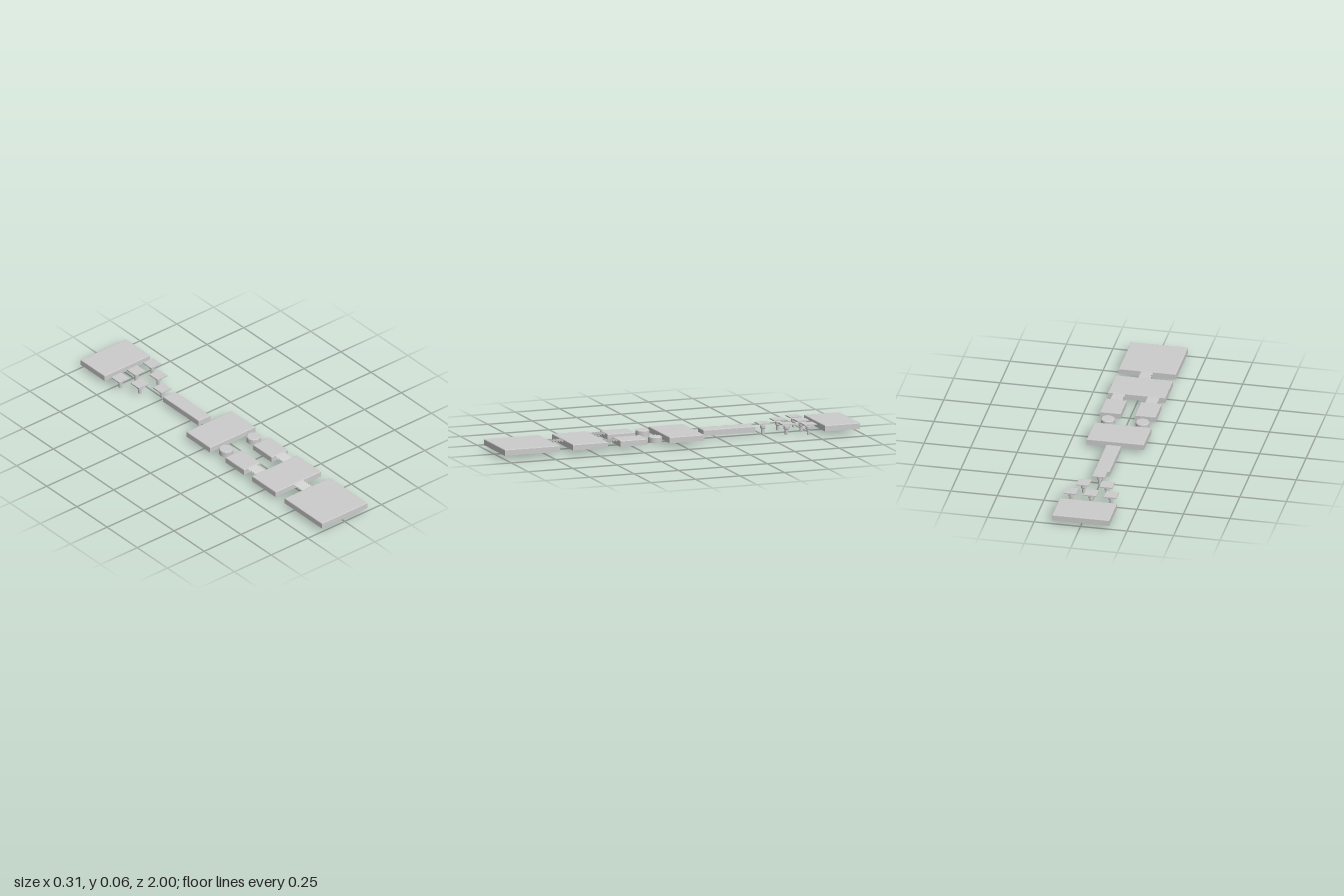
import * as THREE from 'three';

const material = new THREE.MeshStandardMaterial({ color: 0xcccccc, side: THREE.DoubleSide });
const flat = new THREE.MeshStandardMaterial({ color: 0xcccccc, side: THREE.DoubleSide, flatShading: true });
const BOTTOM = 0.02, TOP = 0.052, BEVEL = 0.004;

// Thin block with a bevelled top edge, hollow and open underneath
function shellGeometry(w, d) {
  const loops = [[0, BOTTOM], [0, TOP - BEVEL], [BEVEL * 0.3, TOP - BEVEL * 0.3], [BEVEL, TOP]];
  const pos = [], index = [];
  for (const [inset, y] of loops) {
    const x = w / 2 - inset, z = d / 2 - inset;
    pos.push(-x, y, z, x, y, z, x, y, -z, -x, y, -z);
  }
  for (let r = 0; r < loops.length - 1; r++) {
    for (let i = 0; i < 4; i++) {
      const a = r * 4 + i, b = r * 4 + (i + 1) % 4;
      index.push(a, b, b + 4, a, b + 4, a + 4);
    }
  }
  const t = (loops.length - 1) * 4;
  index.push(t, t + 1, t + 2, t, t + 2, t + 3);
  const g = new THREE.BufferGeometry();
  g.setAttribute('position', new THREE.Float32BufferAttribute(pos, 3));
  g.setIndex(index);
  const out = g.toNonIndexed();
  out.computeVertexNormals();
  return out;
}

// Pleated flexible strip, folds running across x
function pleatGeometry(w, d) {
  const folds = 10;
  const g = new THREE.PlaneGeometry(w, d, 1, folds).rotateX(-Math.PI / 2);
  const p = g.attributes.position;
  for (let i = 0; i < p.count; i++) {
    p.setY(i, Math.floor(i / 2) % 2 ? 0.052 : 0.043);
  }
  const out = g.toNonIndexed();
  out.computeVertexNormals();
  return out;
}

function lathe(points, segments) {
  return new THREE.LatheGeometry(points.map(([r, y]) => new THREE.Vector2(r, y)), segments);
}

export function createModel() {
  const model = new THREE.Group();
  const add = (name, geometry, x, z, mat = material, parent = model, y = 0) => {
    const mesh = new THREE.Mesh(geometry, mat);
    mesh.name = name;
    mesh.position.set(x, y, z);
    parent.add(mesh);
    return mesh;
  };
  const block = (name, w, z0, z1, x = 0) => add(name, shellGeometry(w, z1 - z0), x, (z0 + z1) / 2);
  const pleat = (name, x, z0, z1) => add(name, pleatGeometry(0.064, z1 - z0), x, (z0 + z1) / 2, flat);

  // Main row of blocks
  block('backBlock', 0.308, -1, -0.802);
  block('longBar', 0.08, -0.456, -0.162);
  block('middleBlock', 0.308, -0.124, 0.072);
  block('frontMiddleBlock', 0.308, 0.418, 0.616);
  block('frontBlock', 0.308, 0.69, 1);
  pleat('frontPleat', 0, 0.612, 0.694);

  // Paired discs, small blocks and pleats
  const disc = [[0.037, BOTTOM], [0.037, TOP - BEVEL], [0.037, TOP - BEVEL],
    [0.033, TOP], [0.033, TOP], [0, TOP]];
  for (const [side, s] of [['left', 1], ['right', -1]]) {
    add(side + 'Disc', lathe(disc, 32), s * 0.093, 0.131);
    block(side + 'SmallBlock', 0.112, 0.194, 0.348, s * 0.094);
    pleat(side + 'Pleat', s * 0.093, 0.344, 0.422);
  }

  // Square pads on stepped pegs, in a triangle of three rows
  const peg = [[0, 0], [0.009, 0], [0.009, 0], [0.009, 0.026], [0.009, 0.026], [0.015, 0.03],
    [0.015, 0.03], [0.015, 0.046], [0.015, 0.046], [0.01, 0.049], [0.01, 0.049], [0.01, 0.056]];
  const rows = [[-0.727, [-0.108, 0, 0.108]], [-0.62, [-0.063, 0.063]], [-0.511, [0]]];
  for (const [z, xs] of rows) {
    for (const x of xs) {
      const pad = new THREE.Group();
      pad.name = 'padOnPeg';
      pad.position.set(x, 0, z);
      add('pad', new THREE.BoxGeometry(0.068, 0.006, 0.068), 0, 0, material, pad, 0.058);
      add('peg', lathe(peg, 20), 0, 0, material, pad);
      model.add(pad);
    }
  }
  return model;
}
